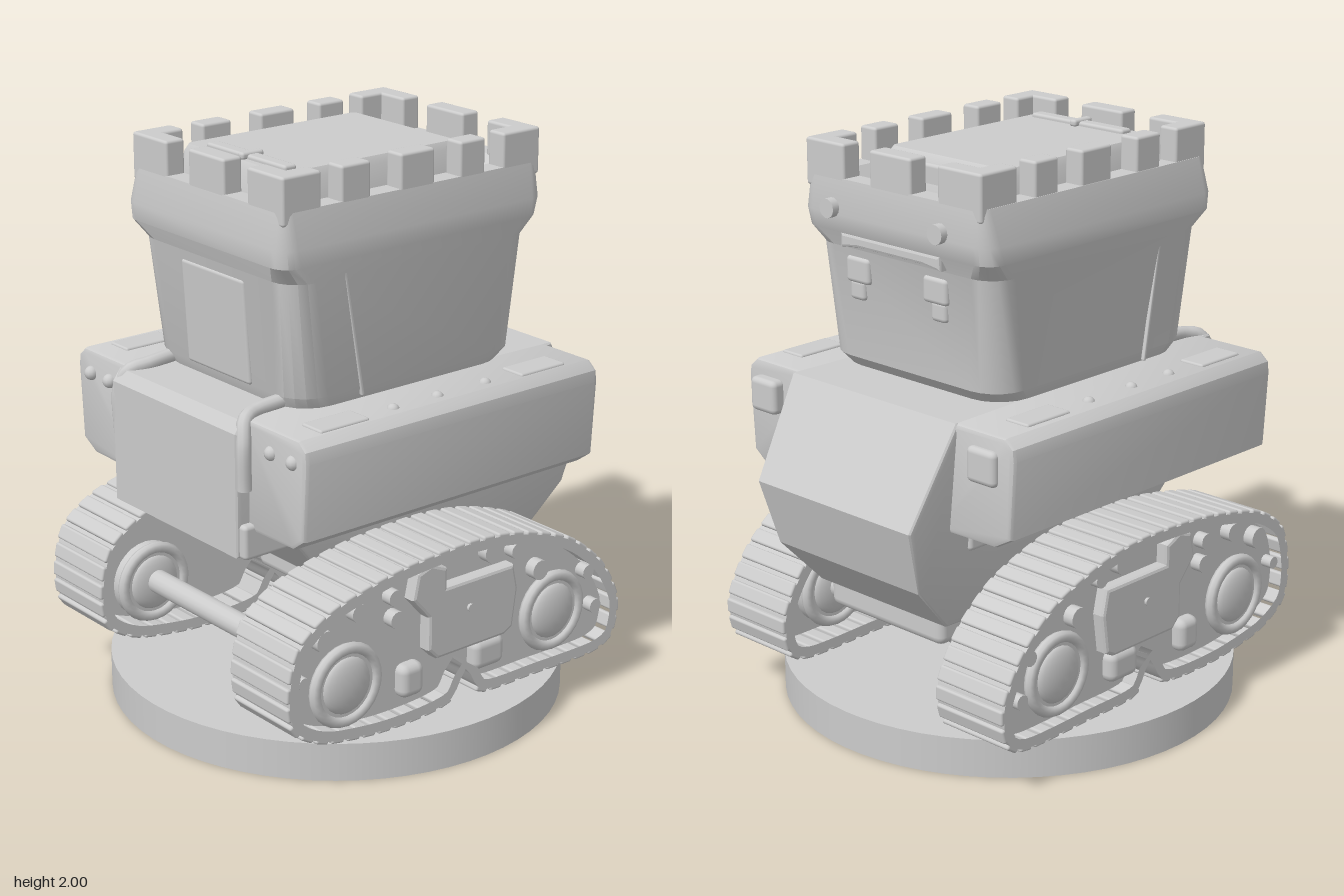
import * as THREE from 'three';
import { toCreasedNormals } from 'three/addons/utils/BufferGeometryUtils.js';
import { RoundedBoxGeometry } from 'three/addons/geometries/RoundedBoxGeometry.js';

const grey = new THREE.MeshStandardMaterial({ color: 0xcccccc });

function add(parent, name, geo, x = 0, y = 0, z = 0) {
  const m = new THREE.Mesh(geo, grey);
  m.name = name;
  m.position.set(x, y, z);
  parent.add(m);
  return m;
}
const box = (w, h, d, r = 0.015) => new RoundedBoxGeometry(w, h, d, 2, r);
const cylZ = (r0, r1, len, n = 20) => new THREE.CylinderGeometry(r0, r1, len, n).rotateX(Math.PI / 2);
const shapeOf = pts => new THREE.Shape(pts.map(p => new THREE.Vector2(p[0], p[1])));

// Extrusion centred on z = 0, with a small bevel inside the total depth
function slab(shape, depth, bevel = 0) {
  const d = depth - 2 * bevel;
  return new THREE.ExtrudeGeometry(shape, {
    depth: d, bevelEnabled: bevel > 0, bevelSize: bevel, bevelThickness: bevel,
    bevelOffset: -bevel, bevelSegments: 2, curveSegments: 8,
  }).translate(0, 0, -d / 2);
}

// Stack of rounded rectangles [y, x0, x1, z0, z1, radius], closed at both ends
function loft(sections) {
  const first = sections[0], last = sections[sections.length - 1];
  const point = s => [s[0], (s[1] + s[2]) / 2, (s[1] + s[2]) / 2, (s[3] + s[4]) / 2, (s[3] + s[4]) / 2, 0];
  const rings = [point(first), ...sections, point(last)];
  const K = 5, n = 4 * (K + 1), pos = [], idx = [];
  for (const [y, x0, x1, z0, z1, r] of rings)
    for (let c = 0; c < 4; c++)
      for (let k = 0; k <= K; k++) {
        const a = (c + k / K) * Math.PI / 2;
        const cx = c === 0 || c === 3 ? x1 - r : x0 + r;
        const cz = c < 2 ? z1 - r : z0 + r;
        pos.push(cx + r * Math.cos(a), y, cz + r * Math.sin(a));
      }
  for (let j = 0; j < rings.length - 1; j++)
    for (let i = 0; i < n; i++) {
      const a = j * n + i, b = j * n + (i + 1) % n;
      idx.push(a, a + n, b + n, a, b + n, b);
    }
  const g = new THREE.BufferGeometry();
  g.setAttribute('position', new THREE.Float32BufferAttribute(pos, 3));
  g.setIndex(idx);
  return toCreasedNormals(g, 0.5);
}

// One crawler track; s = 1 for the +z side, -1 for the -z side
function buildTrack(s) {
  const g = new THREE.Group();
  g.name = s > 0 ? 'trackFront' : 'trackBack';
  g.position.z = s > 0 ? 0.528 : -0.515;
  const width = 0.3;
  const path = [[-0.768, 0.4], [-0.725, 0.55], [-0.58, 0.645], [-0.3, 0.705], [0, 0.72], [0.22, 0.695], [0.45, 0.615],
    [0.61, 0.485], [0.695, 0.33], [0.675, 0.2], [0.58, 0.158], [0.3, 0.16], [0.06, 0.17], [-0.015, 0.27],
    [-0.08, 0.18], [-0.2, 0.158], [-0.4, 0.16], [-0.62, 0.195], [-0.745, 0.27]];
  const curve = new THREE.CatmullRomCurve3(path.map(p => new THREE.Vector3(p[0], p[1], 0)), true, 'catmullrom', 0.4);
  const N = 96, outer = [], inner = [];
  for (let i = 0; i < N; i++) {
    const p = curve.getPointAt(i / N), t = curve.getTangentAt(i / N);
    outer.push([p.x, p.y]);
    inner.push([p.x + t.y * 0.035, p.y - t.x * 0.035]);
  }
  // Belt ring and its treads
  const ring = shapeOf(outer);
  ring.holes.push(shapeOf(inner));
  add(g, 'belt', toCreasedNormals(slab(ring, width), 0.6));
  for (let i = 0; i < 54; i++) {
    const p = curve.getPointAt(i / 54), t = curve.getTangentAt(i / 54);
    if (Math.abs(p.x + 0.015) < 0.06 && p.y < 0.3) continue;
    add(g, 'tread', box(0.052, 0.022, width, 0.008), p.x, p.y, 0).rotation.z = Math.atan2(t.y, t.x);
  }
  // Side wall inside the belt
  add(g, 'sideWall', slab(shapeOf(inner), 0.14), 0, 0, 0.03 * s);

  // Road wheels with domed hubs on both faces
  for (const x of [-0.51, 0.41])
    for (const f of [1, -1]) {
      const z = f > 0 ? 0.088 * s : -0.06 * s, d = f * s;
      add(g, 'wheel', cylZ(0.14, 0.14, 0.06, 28), x, 0.35, z);
      add(g, 'wheelRim', new THREE.TorusGeometry(0.128, 0.02, 8, 28), x, 0.35, z + 0.025 * d);
      const hub = add(g, 'hub', new THREE.SphereGeometry(0.1, 20, 12), x, 0.35, z + 0.026 * d);
      hub.scale.z = 0.3;
    }

  // Centre armour panel and its brackets
  const panel = shapeOf([[-0.25, 0.58], [-0.23, 0.67], [-0.17, 0.69], [-0.1, 0.66], [-0.1, 0.59], [0.2, 0.59],
    [0.22, 0.5], [0.2, 0.36], [0.16, 0.34], [-0.14, 0.34], [-0.18, 0.38], [-0.18, 0.5]]);
  add(g, 'armourPanel', slab(panel, 0.06, 0.012), 0, 0, 0.115 * s);
  add(g, 'bracket', box(0.1, 0.12, 0.07, 0.03), -0.24, 0.29, 0.11 * s);
  add(g, 'bracket', box(0.14, 0.11, 0.07, 0.03), 0.1, 0.29, 0.11 * s);
  add(g, 'panelBolt', cylZ(0.014, 0.014, 0.02, 10), 0, 0.49, 0.145 * s);
  for (const [x, y, r] of [[-0.61, 0.54, 0.038], [-0.47, 0.6, 0.032], [-0.32, 0.61, 0.028], [-0.31, 0.53, 0.03],
    [0.11, 0.655, 0.038], [0.22, 0.63, 0.028], [0.33, 0.53, 0.036], [0.56, 0.46, 0.026], [0.6, 0.32, 0.026], [-0.7, 0.42, 0.022]])
    add(g, 'bolt', cylZ(r, r, 0.08, 14), x, y, 0.1 * s);
  return g;
}

function buildHull() {
  const g = new THREE.Group();
  g.name = 'hull';
  // Keel-shaped body with an angular nose, narrowing towards the bottom
  const side = shapeOf([[-0.71, 0.745], [-0.71, 1.17], [-0.68, 1.21], [0.63, 1.21], [0.82, 0.88], [0.755, 0.65],
    [0.6, 0.48], [0.3, 0.47], [-0.32, 0.55], [-0.48, 0.74]]);
  const body = slab(side, 2, 0.02);
  const p = body.attributes.position;
  for (let i = 0; i < p.count; i++) {
    const t = THREE.MathUtils.clamp((p.getY(i) - 0.45) / 0.75, 0, 1);
    const half = p.getX(i) < -0.6 ? 0.345 : 0.285 + 0.105 * Math.sqrt(t);
    p.setZ(i, p.getZ(i) * half - 0.008);
  }
  body.computeVertexNormals();
  add(g, 'body', toCreasedNormals(body, 0.4));
  add(g, 'bellyPlate', box(0.75, 0.14, 0.54, 0.03), 0.2, 0.45, 0.01);

  for (const s of [1, -1]) {
    // Side pod: bevelled section running along x, the -z one a little larger
    const w = s > 0 ? 0 : 0.015;
    const section = shapeOf([[0.3, 0.83], [0.56, 0.835], [0.615 + w, 0.875], [0.63 + w, 1.14], [0.625 + w, 1.18],
      [0.59 + w, 1.21], [0.3, 1.21]].map(([z, y]) => [-z * s, y]));
    add(g, 'sidePod', toCreasedNormals(slab(section, 1.27 + w, 0.015).rotateY(Math.PI / 2), 0.4), -0.025 + w, 0, 0);
    add(g, 'underPod', box(1.24, 0.12, 0.12), -0.08, 0.8, 0.305 * s);
    add(g, 'podLamp', box(0.06, 0.12, 0.125, 0.02), 0.625, 1.1, 0.515 * s);
    // Lids and studs on the pod
    for (const x of [-0.46, 0.4]) add(g, 'podLid', box(0.2, 0.016, 0.1, 0.008), x, 1.21, 0.53 * s);
    for (const x of [-0.23, -0.04, 0.17])
      add(g, 'podStud', new THREE.SphereGeometry(0.022, 12, 8), x, 1.203, 0.54 * s);
    for (const z of [0.45, 0.56])
      add(g, 'rearStud', new THREE.SphereGeometry(0.025, 12, 8), -0.655, 1.13, z * s);
    // Pipe from the tower over the rear edge
    const pipe = new THREE.CatmullRomCurve3([[-0.5, 1.23, 0.3], [-0.6, 1.22, 0.3], [-0.66, 1.205, 0.32],
      [-0.685, 1.14, 0.345], [-0.685, 0.98, 0.345]].map(([x, y, z]) => new THREE.Vector3(x, y, z * s)));
    add(g, 'pipe', new THREE.TubeGeometry(pipe, 20, 0.025, 10));
  }
  return g;
}

function buildTower() {
  const g = new THREE.Group();
  g.name = 'tower';
  // Walls, flared parapet, rim and sunken roof in one stack
  add(g, 'walls', loft([[1.19, -0.49, 0.4, -0.37, 0.39, 0.13], [1.25, -0.515, 0.45, -0.4, 0.412, 0.12],
    [1.64, -0.545, 0.488, -0.42, 0.417, 0.1], [1.7, -0.58, 0.525, -0.44, 0.425, 0.07],
    [1.76, -0.582, 0.535, -0.438, 0.425, 0.06], [1.88, -0.565, 0.525, -0.405, 0.402, 0.04],
    [1.88, -0.495, 0.455, -0.335, 0.33, 0.04], [1.84, -0.465, 0.4, -0.32, 0.3, 0.04]]));
  // Hatch with a chamfered corner block, hinge and handle
  add(g, 'roofHatch', loft([[1.82, -0.455, 0.34, -0.32, 0.265, 0.04], [1.93, -0.44, 0.315, -0.305, 0.25, 0.03],
    [1.955, -0.425, 0.295, -0.29, 0.235, 0.02]]));
  add(g, 'hatchHinge', box(0.05, 0.025, 0.42, 0.01), -0.38, 1.957, 0);
  add(g, 'hatchHandle', box(0.09, 0.025, 0.03, 0.01), -0.38, 1.965, 0);
  add(g, 'hatchLatch', box(0.04, 0.08, 0.3, 0.012), 0.31, 1.89, 0.03);

  // Battlements along each wall; the end pieces meet as L-shaped corners
  const h = 0.16, y = 1.915, t = 0.075;
  for (const s of [1, -1]) {
    for (const [a, b] of [[-0.565, -0.41], [-0.33, -0.21], [-0.085, 0.06], [0.17, 0.28], [0.36, 0.525]])
      add(g, 'merlon', box(b - a, h, t, 0.01), (a + b) / 2, y, 0.365 * s);
    for (const [a, b] of [[-0.402, -0.21], [-0.09, 0.1], [0.22, 0.402]])
      add(g, 'merlon', box(t, h, b - a, 0.01), -0.02 + 0.508 * s, y, (a + b) / 2);
    // Raised door seam on each flank
    add(g, 'wallSeam', box(0.012, 0.46, 0.015, 0.004), -0.29, 1.45, 0.411 * s).rotation.z = 0.17;
    // Bolts and vision blocks on the nose-side wall
    add(g, 'parapetBolt', new THREE.CylinderGeometry(0.033, 0.033, 0.06, 14).rotateZ(Math.PI / 2), 0.53, 1.78, 0.02 + 0.25 * s);
    add(g, 'visionBlock', box(0.04, 0.09, 0.11), 0.475, 1.57, 0.02 + 0.18 * s);
    add(g, 'visionFoot', box(0.035, 0.07, 0.07), 0.47, 1.5, 0.02 + 0.19 * s);
  }
  // Trapezoid plate under the parapet
  const brow = shapeOf([[-0.24, 1.7], [-0.24, 1.65], [-0.16, 1.66], [0.14, 1.66], [0.22, 1.65], [0.22, 1.7]]);
  add(g, 'browPlate', slab(brow, 0.05, 0.01).rotateY(Math.PI / 2), 0.503, 0, 0);
  add(g, 'rearDoor', box(0.03, 0.36, 0.34, 0.012), -0.522, 1.43, 0).rotation.z = 0.06;
  return g;
}

export function createModel() {
  const model = new THREE.Group();
  model.name = 'trackedTower';
  add(model, 'baseDisc', new THREE.CylinderGeometry(0.8, 0.8, 0.135, 64), -0.025, 0.0675, 0);
  model.add(buildTrack(1), buildTrack(-1), buildHull(), buildTower());
  // Axles linking the two tracks
  for (const [x, y, r] of [[-0.51, 0.36, 0.042], [0.41, 0.36, 0.042], [0.2, 0.54, 0.03]])
    add(model, 'axle', cylZ(r, r, 0.9, 16), x, y, 0);
  return model;
}
